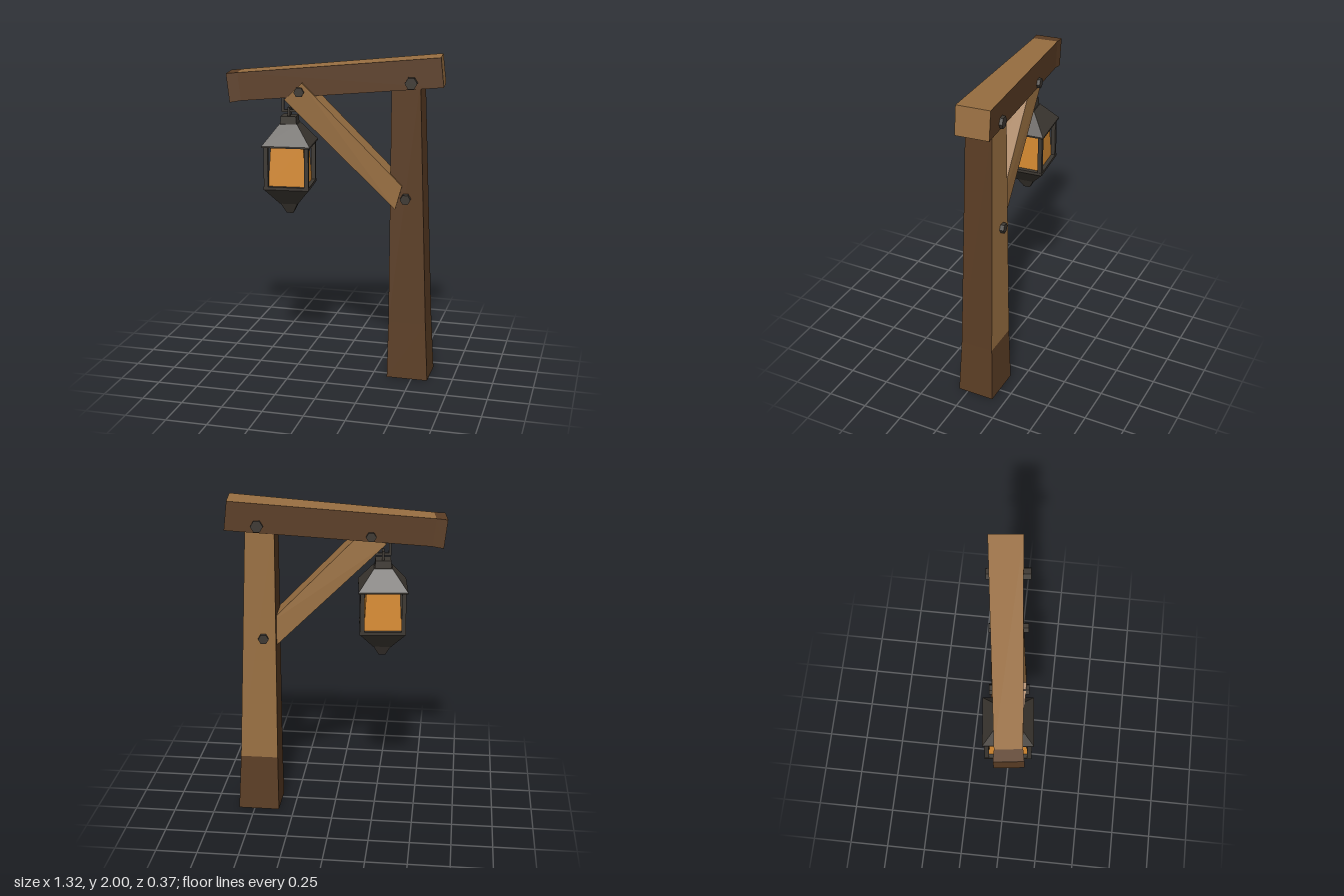
import * as THREE from 'three';

const mat = (name, color) => {
  const m = new THREE.MeshStandardMaterial({ color });
  m.name = name;
  return m;
};

export function createModel() {
  const darkWood = mat('dark wood', 0x5c3e25);
  const lightWood = mat('light wood', 0x9a7042);
  const iron = mat('iron', 0x3d3832);
  const glow = mat('amber glass', 0xd68a31);
  const model = new THREE.Group();
  model.name = 'lanternPost';

  const add = (parent, name, geometry, material, x = 0, y = 0, z = 0) => {
    const mesh = new THREE.Mesh(geometry, material);
    mesh.name = name;
    mesh.position.set(x, y, z);
    parent.add(mesh);
    return mesh;
  };

  // Faceted timber through four-cornered rings; isLight(segment, side) picks the wood,
  // with side 'start' or 'end' for the caps
  const timber = (name, rings, isLight) => {
    const positions = [];
    const g = new THREE.BufferGeometry();
    const quad = (a, b, c, d, light) => {
      g.addGroup(positions.length / 3, 6, light ? 1 : 0);
      positions.push(...a, ...b, ...c, ...a, ...c, ...d);
    };
    for (let s = 0; s < rings.length - 1; s++) {
      for (let i = 0; i < 4; i++) {
        const j = (i + 1) % 4;
        quad(rings[s][i], rings[s][j], rings[s + 1][j], rings[s + 1][i], isLight(s, i));
      }
    }
    const [a, b, c, d] = rings[0];
    quad(d, c, b, a, isLight(0, 'start'));
    quad(...rings[rings.length - 1], isLight(0, 'end'));
    g.setAttribute('position', new THREE.Float32BufferAttribute(positions, 3));
    g.computeVertexNormals();
    add(model, name, g, [darkWood, lightWood]);
  };

  // Tapered post, with a pale back above the foot
  const postRing = (y, x0, x1, z0, z1) => [[x0, y, z1], [x1, y, z1], [x1, y, z0], [x0, y, z0]];
  timber('post', [
    postRing(0, 0.345, 0.6, -0.17, 0.06),
    postRing(0.36, 0.348, 0.58, -0.16, 0.045),
    postRing(1.86, 0.345, 0.518, -0.145, 0.02),
  ], (s, side) => s === 1 && side === 2);

  // Sloping crossbeam, with a pale top and thick end
  const beamRing = (x, y0, y1, z0, z1) =>
    [[x + 0.02, y0, z1], [x, y0, z0], [x - 0.02, y1, z0], [x, y1, z1]];
  timber('crossbeam', [
    beamRing(-0.642, 1.705, 1.88, -0.02, 0.145),
    beamRing(-0.575, 1.717, 1.886, -0.022, 0.132),
    beamRing(0.635, 1.825, 2, -0.188, 0.013),
  ], (s, side) => side === 'end' || (s === 1 && side === 2));

  // Diagonal brace
  const braceRing = (lo, hi, z0, z1) => [
    [...lo, z1], [lo[0] - 0.015, lo[1], z0], [hi[0] - 0.015, hi[1], z0], [...hi, z1],
  ];
  timber('brace', [
    braceRing([-0.29, 1.73], [-0.18, 1.835], -0.05, 0.112),
    braceRing([0.38, 1.08], [0.42, 1.225], -0.12, 0.042),
  ], () => true);

  // Hexagonal bolts running through the timbers
  for (const [name, x, y, z0, z1, r] of [
    ['beamBolt', 0.457, 1.85, -0.183, 0.075, 0.037],
    ['postBolt', 0.433, 1.15, -0.175, 0.075, 0.032],
    ['braceBolt', -0.207, 1.78, -0.092, 0.13, 0.031],
  ]) {
    const g = new THREE.CylinderGeometry(r, r, z1 - z0, 6).rotateY(Math.PI / 6).rotateX(Math.PI / 2);
    const flat = g.toNonIndexed();
    flat.computeVertexNormals();
    add(model, name, flat, iron, x, y, (z0 + z1) / 2).rotation.y = 0.11;
  }

  // Lantern, turned with the beam
  const lantern = new THREE.Group();
  lantern.name = 'lantern';
  lantern.position.set(-0.283, 0, 0.021);
  lantern.rotation.y = 0.1;
  model.add(lantern);

  // Square frustum given by its half widths
  const frustum = (name, y0, y1, h0, h1, material = iron) => {
    const g = new THREE.CylinderGeometry(h1 * Math.SQRT2, h0 * Math.SQRT2, y1 - y0, 4)
      .rotateY(Math.PI / 4).toNonIndexed();
    g.computeVertexNormals();
    add(lantern, name, g, material, 0, (y0 + y1) / 2, 0);
  };
  frustum('cap', 1.572, 1.622, 0.05, 0.047);
  frustum('roof', 1.455, 1.575, 0.147, 0.055);
  frustum('eave', 1.445, 1.455, 0.147, 0.147);
  frustum('glass', 1.2, 1.446, 0.114, 0.1, glow);
  frustum('tray', 1.185, 1.203, 0.139, 0.139);
  frustum('underside', 1.08, 1.185, 0.055, 0.137);
  frustum('finial', 1.015, 1.08, 0.02, 0.052);
  for (const sx of [-1, 1]) {
    for (const sz of [-1, 1]) {
      add(lantern, 'cornerBar', new THREE.BoxGeometry(0.026, 0.25, 0.026), iron, sx * 0.124, 1.325, sz * 0.124);
    }
  }

  // Two interlocked rectangular links
  const link = (name, width, y0, y1, turn) => {
    const t = 0.015;
    const group = new THREE.Group();
    group.name = name;
    group.rotation.y = turn;
    for (const s of [-1, 1]) {
      add(group, 'linkSide', new THREE.BoxGeometry(t, y1 - y0, t), iron, s * (width - t) / 2, (y0 + y1) / 2, 0);
    }
    for (const y of [y0 + t / 2, y1 - t / 2]) {
      add(group, 'linkBar', new THREE.BoxGeometry(width, t, t), iron, 0, y, 0);
    }
    lantern.add(group);
  };
  link('upperLink', 0.095, 1.643, 1.77, 0);
  link('lowerLink', 0.07, 1.6, 1.675, Math.PI / 2);

  return model;
}
